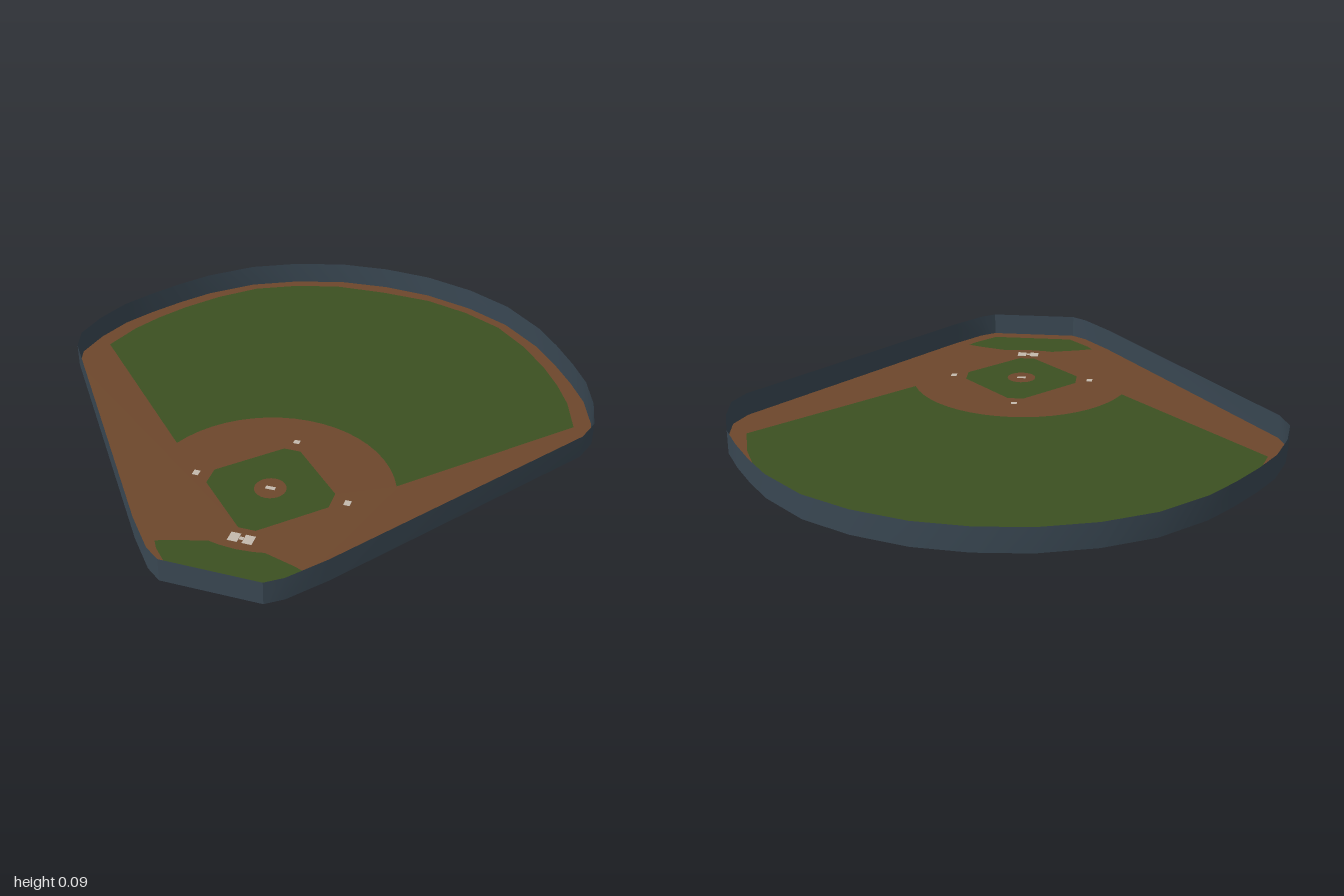
import * as THREE from 'three';
import { toCreasedNormals } from 'three/addons/utils/BufferGeometryUtils.js';

const FLOOR = 0.001, WALL_TOP = 0.086;

function material(name, color, side = THREE.DoubleSide) {
  const m = new THREE.MeshStandardMaterial({ color, side });
  m.name = name;
  return m;
}

// Mirrors a run of [x, z] points (from the back to the front) into a closed outline.
function mirrored(half) {
  const other = half.filter(([x]) => x > 0).map(([x, z]) => [-x, z]).reverse();
  return [...half, ...other].map(([x, z]) => new THREE.Vector2(x, -z));
}

function circle(z, r, n = 24) {
  return Array.from({ length: n }, (_, i) => {
    const a = (i / n) * Math.PI * 2;
    return new THREE.Vector2(r * Math.cos(a), -z + r * Math.sin(a));
  });
}

// Flat ground patch with optional cut-outs.
function patch(name, outline, holes, mat) {
  const shape = new THREE.Shape(outline);
  holes.forEach((h) => shape.holes.push(new THREE.Path(h)));
  const geo = new THREE.ShapeGeometry(shape);
  geo.rotateX(-Math.PI / 2);
  geo.translate(0, FLOOR, 0);
  const mesh = new THREE.Mesh(geo, mat);
  mesh.name = name;
  return mesh;
}

// Upright sheet following a closed outline.
function fence(outline, mat) {
  const pos = [];
  outline.forEach((a, i) => {
    const b = outline[(i + 1) % outline.length];
    const p = [a.x, 0, -a.y], q = [b.x, 0, -b.y];
    const P = [a.x, WALL_TOP, -a.y], Q = [b.x, WALL_TOP, -b.y];
    // the outline runs clockwise seen from above, so this order faces outwards
    pos.push(...p, ...P, ...q, ...q, ...P, ...Q);
  });
  const geo = new THREE.BufferGeometry();
  geo.setAttribute('position', new THREE.Float32BufferAttribute(pos, 3));
  geo.computeVertexNormals();
  const mesh = new THREE.Mesh(toCreasedNormals(geo, 0.5), mat);
  mesh.name = 'outerWall';
  return mesh;
}

export function createModel() {
  const field = new THREE.Group();
  field.name = 'ballField';
  const dirt = material('dirt', 0x6d472c);
  const grass = material('grass', 0x3c5021);
  const wall = material('wall', 0x394752);
  const chalk = material('chalk', 0xc4b9ac, THREE.FrontSide);

  // Outer boundary of the ground
  const boundary = mirrored([
    [0, -1], [0.185, -0.985], [0.376, -0.93], [0.545, -0.845], [0.695, -0.715],
    [0.78, -0.61], [0.86, -0.495], [0.925, -0.385], [0.97, -0.255], [0.99, -0.13],
    [0.962, -0.04], [0.325, 0.84], [0.225, 0.96], [0.17, 1],
  ]);

  // Outfield grass, with the rounded infield edge cut into it
  const arc = [];
  for (let i = 0; i <= 10; i++) {
    const a = THREE.MathUtils.lerp(1.2, 0, i / 10);
    arc.push([0.43 * Math.sin(a), 0.477 - 0.43 * Math.cos(a)]);
  }
  const outfield = mirrored([
    [0, -0.95], [0.2, -0.94], [0.37, -0.89], [0.52, -0.815], [0.645, -0.7],
    [0.745, -0.575], [0.815, -0.465], [0.87, -0.355], [0.915, -0.21],
    [0.412, 0.31], ...arc,
  ]);

  // Infield diamond, pitching circle and the lawn behind home
  const diamond = mirrored([[0.03, 0.235], [0.217, 0.425], [0.217, 0.5], [0.03, 0.688]]);
  const mound = circle(0.463, 0.055);
  const backLawn = mirrored([
    [0, 0.792], [0.06, 0.787], [0.095, 0.78], [0.2, 0.81], [0.26, 0.832],
    [0.24, 0.865], [0.16, 0.948],
  ]);

  field.add(
    patch('dirtGround', boundary, [outfield, diamond, backLawn], dirt),
    patch('outfieldGrass', outfield, [], grass),
    patch('infieldGrass', diamond, [mound], grass),
    patch('pitchingCircle', mound, [], dirt),
    patch('backstopGrass', backLawn, [], grass),
    fence(boundary, wall),
  );

  // Bases and batting boxes as thin plates, visible from both sides of the ground
  const plates = [
    ['firstBase', 0.27, 0.46, 0.022, 0.026],
    ['thirdBase', -0.27, 0.46, 0.022, 0.026],
    ['secondBase', 0, 0.185, 0.022, 0.02],
    ['pitchingPlate', 0, 0.462, 0.034, 0.016],
    ['leftBattingBox', 0.025, 0.737, 0.034, 0.042],
    ['rightBattingBox', -0.025, 0.737, 0.034, 0.042],
    ['homePlate', 0, 0.737, 0.014, 0.014],
  ];
  for (const [name, x, z, w, d] of plates) {
    const plate = new THREE.Mesh(new THREE.BoxGeometry(w, 0.002, d), chalk);
    plate.position.set(x, FLOOR, z);
    plate.name = name;
    field.add(plate);
  }
  return field;
}
